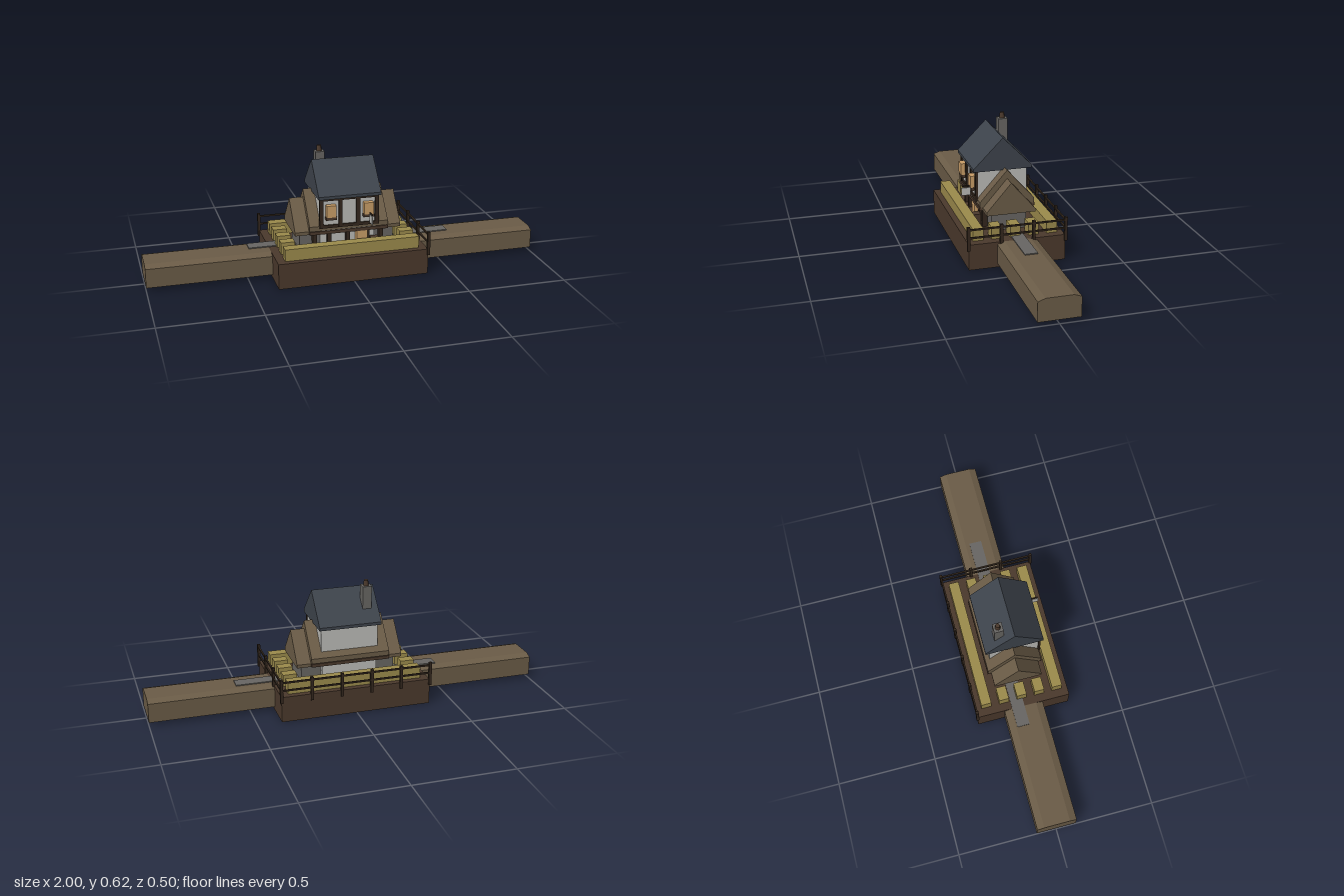
import * as THREE from 'three';

const mat = (name, color) => {
  const m = new THREE.MeshStandardMaterial({ color });
  m.name = name;
  return m;
};

export function createModel() {
  const earth = mat('earth', 0x4b392c);
  const thatch = mat('thatch', 0x6b5c47);
  const crop = mat('crop', 0x9c8b4c);
  const slate = mat('slate', 0x3e444c);
  const plaster = mat('plaster', 0xbcbcb8);
  const stone = mat('stone', 0x686663);
  const timber = mat('timber', 0x33271d);
  const lampGlow = mat('warm glow', 0xcb9f68);
  const embankment = mat('embankment', 0x6b5c47);
  embankment.side = THREE.DoubleSide;

  const model = new THREE.Group();
  const add = (name, geometry, material) => {
    const mesh = new THREE.Mesh(geometry, material);
    mesh.name = name;
    model.add(mesh);
    return mesh;
  };
  // Box given by its limits on each axis
  const box = (name, material, x0, x1, y0, y1, z0, z1) => {
    const mesh = add(name, new THREE.BoxGeometry(x1 - x0, y1 - y0, z1 - z0), material);
    mesh.position.set((x0 + x1) / 2, (y0 + y1) / 2, (z0 + z1) / 2);
    return mesh;
  };
  // Prism along x from a [z, y] outline
  const prism = (name, material, points, x0, x1) => {
    const shape = new THREE.Shape(points.map(([z, y]) => new THREE.Vector2(-z, y)));
    const geometry = new THREE.ExtrudeGeometry(shape, { depth: x1 - x0, bevelEnabled: false });
    geometry.rotateY(Math.PI / 2).translate(x0, 0, 0);
    return add(name, geometry, material);
  };

  // Ground block
  box('groundBlock', earth, -0.38, 0.38, 0, 0.13, -0.24, 0.24);

  // Hollow embankments on both sides, open underneath
  const profile = [[0.1, 0.02], [0.1, 0.117], [0.065, 0.13], [-0.065, 0.13], [-0.1, 0.117], [-0.1, 0.02]];
  for (const s of [1, -1]) {
    const position = [];
    for (let i = 0; i < profile.length - 1; i++) {
      const [z0, y0] = profile[i], [z1, y1] = profile[i + 1];
      const a = [0.38 * s, y0, z0], b = [s, y0, z0], c = [s, y1, z1], d = [0.38 * s, y1, z1];
      position.push(...(s > 0 ? [a, b, c, a, c, d] : [a, c, b, a, d, c]).flat());
    }
    for (let i = 1; i < profile.length - 1; i++) {
      const [p, q, r] = [profile[0], profile[i], profile[i + 1]].map(([z, y]) => [s, y, z]);
      position.push(...(s > 0 ? [p, r, q] : [p, q, r]).flat());
    }
    const geometry = new THREE.BufferGeometry();
    geometry.setAttribute('position', new THREE.Float32BufferAttribute(position, 3));
    geometry.computeVertexNormals();
    add('embankment', geometry, embankment);
  }

  // Stone path slabs
  box('pathSlab', stone, 0.24, 0.56, 0.128, 0.135, -0.044, 0.02);
  box('pathSlab', stone, -0.48, -0.24, 0.128, 0.135, -0.06, 0.004);

  // Crop beds: long at front and back, short at the sides
  for (const z of [-0.184, 0.184]) box('longCropBed', crop, -0.34, 0.34, 0.13, 0.19, z - 0.026, z + 0.026);
  for (const z of [-0.092, 0, 0.092]) {
    box('shortCropBed', crop, 0.27, 0.34, 0.13, 0.19, z - 0.025, z + 0.025);
    box('shortCropBed', crop, -0.34, -0.27, 0.13, 0.19, z - 0.025, z + 0.025);
  }

  // Ground floor
  box('stoneFloor', stone, -0.24, 0.24, 0.13, 0.225, -0.085, 0.09);
  box('lowerWall', plaster, -0.14, 0.14, 0.13, 0.26, -0.112, 0.1);
  for (const x of [-0.17, -0.095, 0, 0.1, 0.17]) {
    box('lowerPost', timber, x - 0.01, x + 0.01, 0.13, 0.225, 0.095, 0.12);
  }
  box('door', lampGlow, 0.04, 0.095, 0.13, 0.228, 0.1, 0.137);
  box('doorStep', earth, 0.11, 0.15, 0.13, 0.185, 0.118, 0.158);

  // Thatched wings, stepped
  prism('outerThatch', thatch, [[0.122, 0.22], [0.122, 0.237], [0, 0.378], [-0.122, 0.237], [-0.122, 0.22]], -0.27, 0.27);
  prism('innerThatch', thatch,
    [[0.122, 0.22], [0.137, 0.243], [0.137, 0.265], [0, 0.42], [-0.137, 0.265], [-0.137, 0.243], [-0.122, 0.22]], -0.2, 0.2);
  for (const z of [-0.13, 0.13]) box('eaveBeam', earth, -0.2, 0.2, 0.223, 0.239, z - 0.01, z + 0.01);

  // Upper floor
  box('upperWall', plaster, -0.145, 0.145, 0.24, 0.412, -0.115, 0.136);
  for (const x of [-0.141, -0.045, 0.045, 0.141]) {
    box('upperPost', timber, x - 0.01, x + 0.01, 0.255, 0.407, 0.134, 0.145);
  }
  box('lowerBeam', timber, -0.151, 0.151, 0.255, 0.27, 0.134, 0.144);
  box('upperBeam', timber, -0.151, 0.151, 0.395, 0.407, 0.134, 0.144);

  // Glowing window boxes on sills
  for (const x of [-0.095, 0.095]) {
    box('windowBox', lampGlow, x - 0.024, x + 0.024, 0.315, 0.375, 0.136, 0.163);
    box('windowSill', earth, x - 0.027, x + 0.027, 0.3, 0.315, 0.136, 0.16);
  }

  // Blank hanging board
  box('boardBracket', timber, 0.097, 0.103, 0.318, 0.324, 0.14, 0.2);
  box('hangingBoard', plaster, 0.097, 0.103, 0.273, 0.312, 0.16, 0.204);

  // Slate roof
  prism('slateRoof', slate,
    [[0.157, 0.407], [0.157, 0.422], [0.01, 0.571], [-0.137, 0.422], [-0.137, 0.407]], -0.158, 0.158);

  // Chimney and pot
  box('chimney', stone, -0.124, -0.078, 0.41, 0.592, -0.082, -0.036);
  const pot = add('chimneyPot', new THREE.CylinderGeometry(0.011, 0.014, 0.029, 8), earth);
  pot.position.set(-0.101, 0.606, -0.06);

  // Fence along the back and the left side
  const post = (x, z) => box('fencePost', timber, x - 0.007, x + 0.007, 0.1, 0.221, z - 0.007, z + 0.007);
  for (let i = 0; i < 6; i++) post(-0.38 + i * 0.152, -0.241);
  for (let i = 1; i < 4; i++) post(0.38, -0.241 + i * 0.1607);
  for (const y of [0.165, 0.206]) {
    box('backRail', timber, -0.38, 0.38, y - 0.004, y + 0.004, -0.245, -0.237);
    box('sideRail', timber, 0.376, 0.384, y - 0.004, y + 0.004, -0.241, 0.241);
  }
  return model;
}
